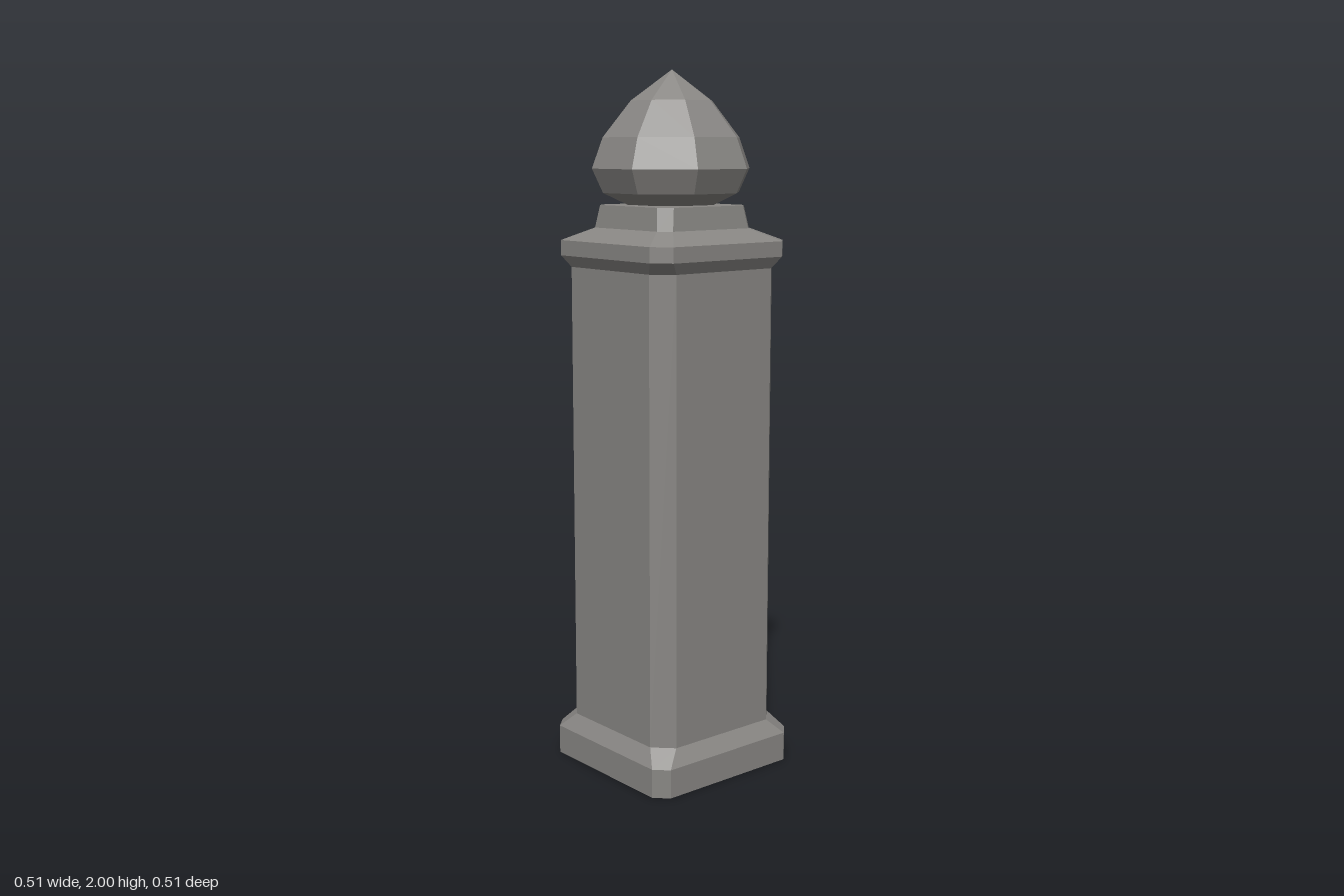
import * as THREE from 'three';

// Loft of square sections with cut corners; each section is [y, half width, half length of flat side].
function chamferedLoft(sections, capTop) {
  const rings = sections.map(([y, h, f]) => [
    [f, h], [h, f], [h, -f], [f, -h], [-f, -h], [-h, -f], [-h, f], [-f, h],
  ].map(([x, z]) => [x, y, z]));
  const pos = [];
  const tri = (a, b, c) => pos.push(...a, ...b, ...c);
  for (let r = 0; r < rings.length - 1; r++) {
    const lo = rings[r], hi = rings[r + 1];
    for (let i = 0; i < 8; i++) {
      const j = (i + 1) % 8;
      tri(lo[i], lo[j], hi[j]);
      tri(lo[i], hi[j], hi[i]);
    }
  }
  if (capTop) {
    const top = rings[rings.length - 1];
    for (let i = 1; i < 7; i++) tri(top[0], top[i], top[i + 1]);
  }
  const geo = new THREE.BufferGeometry();
  geo.setAttribute('position', new THREE.Float32BufferAttribute(pos, 3));
  geo.computeVertexNormals();
  return geo;
}

export function createModel() {
  const group = new THREE.Group();
  group.name = 'bollard';
  const stone = new THREE.MeshStandardMaterial({
    name: 'grey stone', color: 0x888683, flatShading: true, side: THREE.DoubleSide,
  });
  const add = (name, geo) => {
    const mesh = new THREE.Mesh(geo, stone);
    mesh.name = name;
    group.add(mesh);
  };

  // Hollow post, open underneath
  add('base', chamferedLoft([[0, 0.255, 0.218], [0.083, 0.255, 0.218], [0.127, 0.225, 0.173]]));
  add('shaft', chamferedLoft([[0.127, 0.225, 0.173], [1.455, 0.225, 0.173]]));
  add('collar', chamferedLoft([
    [1.455, 0.225, 0.173], [1.487, 0.243, 0.198], [1.53, 0.243, 0.198], [1.565, 0.168, 0.137],
  ]));
  add('neck', chamferedLoft([[1.565, 0.168, 0.137], [1.628, 0.158, 0.126]], true));

  // Eight-sided pointed finial, flat sides facing the axes
  const profile = [[0, 1.63], [0.12, 1.63], [0.185, 1.663], [0.214, 1.73], [0.185, 1.815], [0.11, 1.915], [0, 2]]
    .map(([apothem, y]) => new THREE.Vector2(apothem / Math.cos(Math.PI / 8), y));
  add('finial', new THREE.LatheGeometry(profile, 8, Math.PI / 8));
  return group;
}
